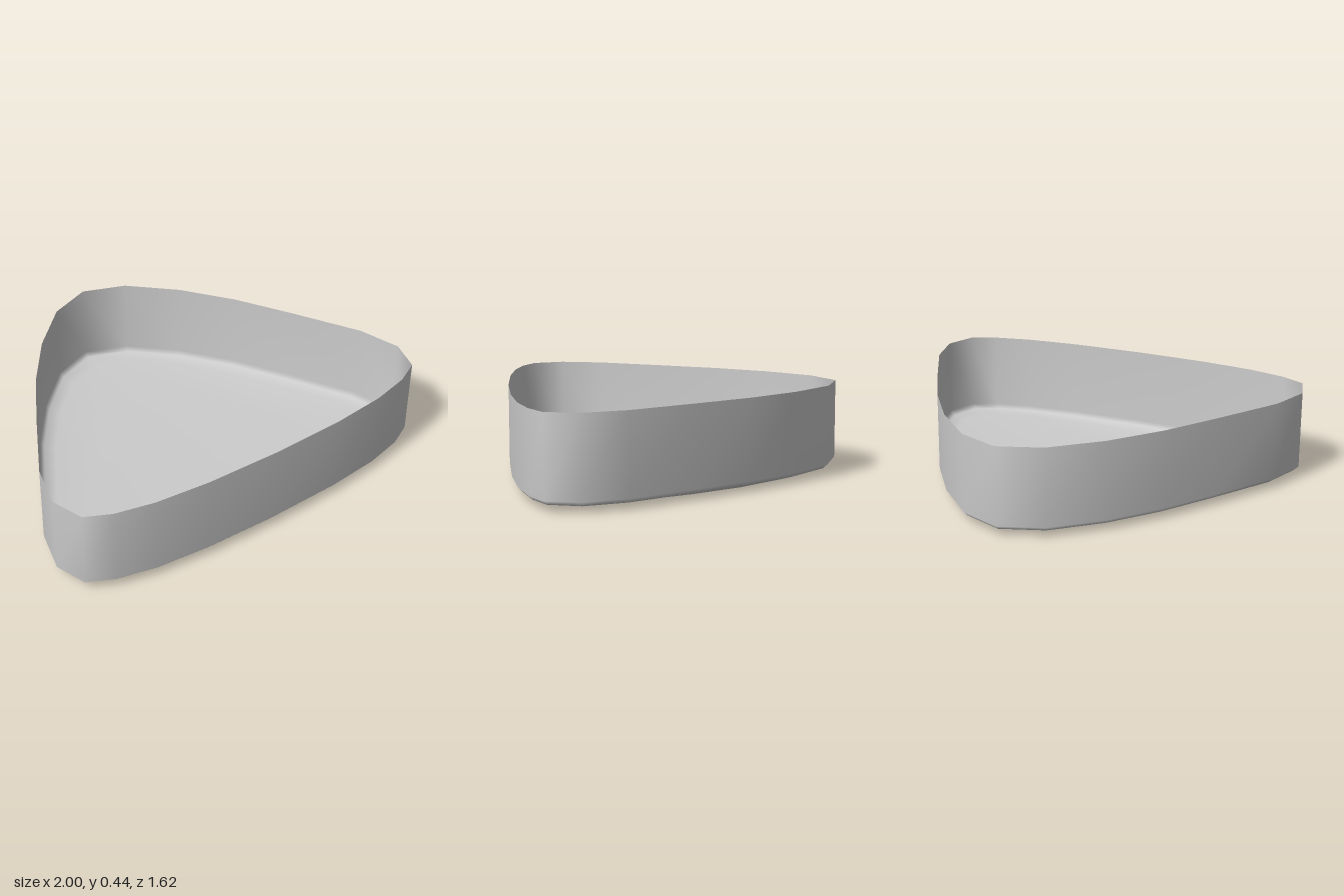
import * as THREE from 'three';

// Right half of the rounded-triangle outline, from back tip to front middle (x, z)
const HALF = [
  [0, -0.81], [0.21, -0.73], [0.42, -0.53], [0.6, -0.29], [0.76, -0.02], [0.94, 0.3],
  [1, 0.51], [0.95, 0.665], [0.83, 0.725], [0.64, 0.77], [0.37, 0.797], [0, 0.807],
];
const OUTLINE = [...HALF, ...HALF.slice(1, -1).reverse().map(([x, z]) => [-x, z])];
const CENTER_Z = 0.12;

// Rings from rim to floor: [scale about the centre, height, extra lift at the far corners]
const RINGS = [
  [1, 0.435, 0], [1, 0.05, 0], [0.975, 0.029, 0], [0.9, 0.009, 0.014], [0.6, 0.002, 0.006],
];

function trayGeometry() {
  const n = OUTLINE.length;
  const positions = [];
  const indices = [];
  for (const [scale, y, lift] of RINGS) {
    for (const [x, z] of OUTLINE) {
      const reach = Math.hypot(x, z - CENTER_Z);
      const corner = THREE.MathUtils.clamp((reach - 0.7) / 0.35, 0, 1);
      positions.push(x * scale, y + lift * corner, CENTER_Z + (z - CENTER_Z) * scale);
    }
  }
  positions.push(0, 0, CENTER_Z);
  const hub = RINGS.length * n;
  for (let r = 0; r < RINGS.length; r++) {
    for (let j = 0; j < n; j++) {
      const k = (j + 1) % n;
      const a = r * n + j, b = r * n + k;
      if (r === RINGS.length - 1) indices.push(a, b, hub);
      else indices.push(a, b, b + n, a, b + n, a + n);
    }
  }
  const geometry = new THREE.BufferGeometry();
  geometry.setAttribute('position', new THREE.Float32BufferAttribute(positions, 3));
  geometry.setIndex(indices);
  geometry.computeVertexNormals();
  return geometry;
}

export function createModel() {
  const group = new THREE.Group();
  group.name = 'openTray';
  const grey = new THREE.MeshStandardMaterial({ color: 0xcccccc, side: THREE.DoubleSide });
  grey.name = 'light grey';
  // Thin wall, rounded lower edge and floor as one smooth shell
  const tray = new THREE.Mesh(trayGeometry(), grey);
  tray.name = 'trayShell';
  group.add(tray);
  return group;
}
